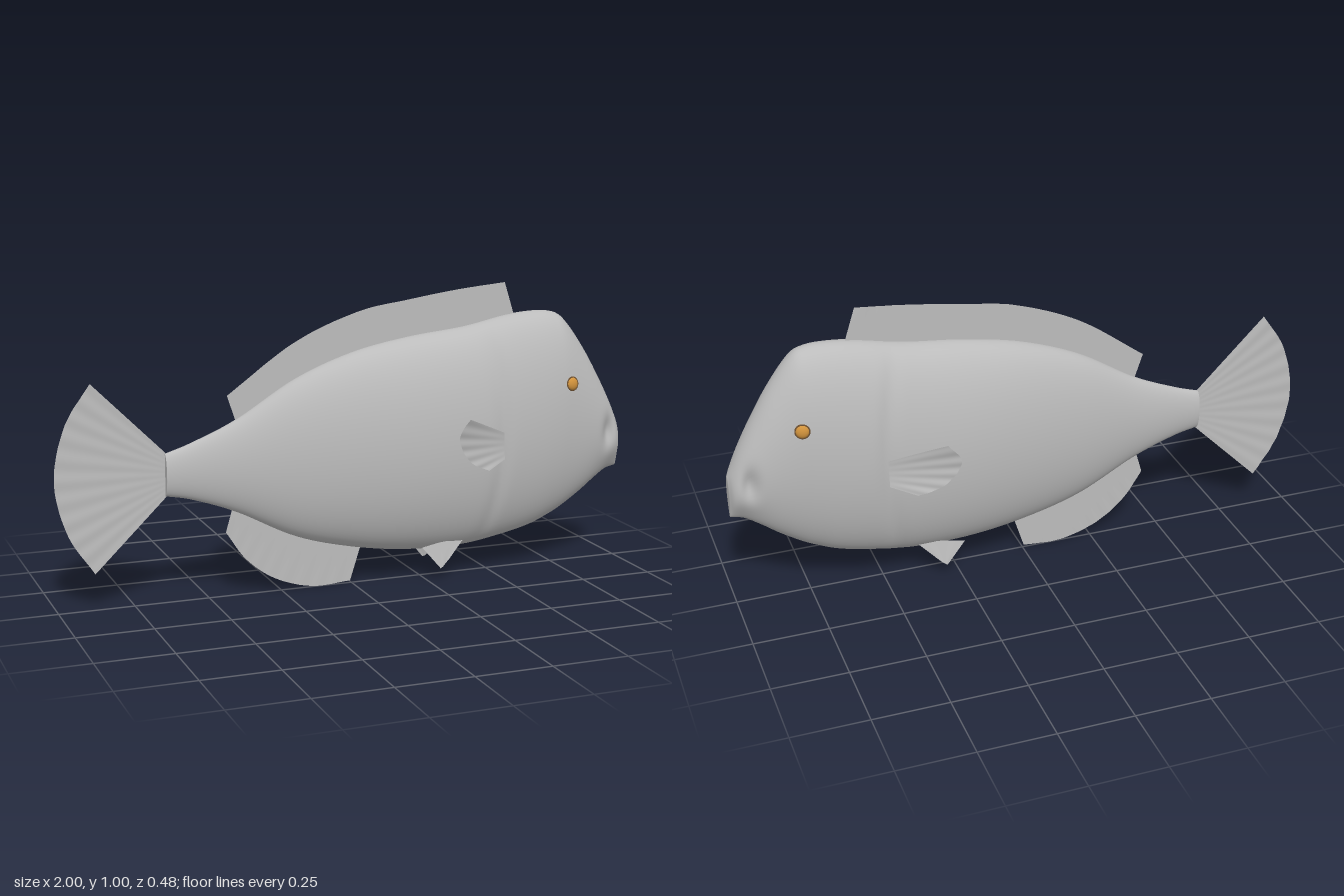
import * as THREE from 'three';

// Body stations: x, top, bottom, half width
const STATIONS = [
  [-0.64, 0.505, 0.365, 0.025], [-0.55, 0.535, 0.345, 0.032], [-0.4, 0.60, 0.29, 0.05],
  [-0.2, 0.72, 0.19, 0.088], [0, 0.797, 0.135, 0.12], [0.2, 0.838, 0.107, 0.141],
  [0.4, 0.862, 0.105, 0.143], [0.55, 0.892, 0.127, 0.138], [0.65, 0.903, 0.15, 0.132],
  [0.72, 0.9, 0.178, 0.124], [0.77, 0.876, 0.203, 0.115], [0.84, 0.785, 0.248, 0.1],
  [0.9, 0.685, 0.293, 0.084], [0.95, 0.59, 0.325, 0.068], [0.982, 0.52, 0.334, 0.049],
  [0.997, 0.485, 0.337, 0.022],
];
const curveOf = (pts) => new THREE.CatmullRomCurve3(pts, false, 'catmullrom', 0.5);
const gauss = (d, w) => Math.exp(-(d * d) / (w * w));

function gridIndex(rows, cols, closed) {
  const index = [];
  const n = closed ? cols : cols - 1;
  for (let i = 0; i < rows - 1; i++) {
    for (let j = 0; j < n; j++) {
      const k = (j + 1) % cols;
      const a = i * cols + j, b = i * cols + k, c = a + cols, d = b + cols;
      index.push(a, b, c, b, d, c);
    }
  }
  return index;
}

function makeGeometry(pos, index) {
  const g = new THREE.BufferGeometry();
  g.setAttribute('position', new THREE.Float32BufferAttribute(pos, 3));
  g.setIndex(index);
  g.computeVertexNormals();
  return g;
}

// Lofted elliptical body with a gill groove, dented cheeks and a keeled chin
function bodyGeometry() {
  const outline = curveOf(STATIONS.map(([x, t, b]) => new THREE.Vector3(x, t, b)));
  const width = curveOf(STATIONS.map(([x, , , w]) => new THREE.Vector3(x, w, 0)));
  const rows = 120, cols = 64, pos = [];
  const ring = (t, scale) => {
    const o = outline.getPoint(t), w = width.getPoint(t).y;
    const mid = (o.y + o.z) / 2, half = (o.y - o.z) / 2;
    for (let j = 0; j < cols; j++) {
      const a = (j / cols) * Math.PI * 2;
      const y = mid + half * Math.cos(a) * scale;
      let z = w * Math.sin(a) * scale;
      const gillX = 0.5 - 0.06 * ((y - 0.5) / 0.4) ** 2;
      z *= 1 - 0.07 * gauss(o.x - gillX, 0.025);
      z *= 1 - 0.33 * gauss(o.x - 0.935, 0.025) * gauss(y - 0.475, 0.05);
      z *= 1 - 0.45 * gauss(o.x - 1, 0.07) * gauss(y - 0.33, 0.06);
      pos.push(o.x, y, z);
    }
  };
  ring(0, 0);
  ring(0, 0.97);
  for (let i = 0; i <= rows; i++) ring(i / rows, 1);
  ring(1, 0.6);
  ring(1, 0);
  return makeGeometry(pos, gridIndex(rows + 5, cols, true));
}

// Thin fin between a root curve and an outer edge; ripples follow the rays
function finGeometry(root, edge, rays, ripple, zAt = () => 0) {
  const a = curveOf(root.map(([x, y]) => new THREE.Vector3(x, y, 0)));
  const b = curveOf(edge.map(([x, y]) => new THREE.Vector3(x, y, 0)));
  const rows = 8, cols = 81, pos = [];
  for (let i = 0; i < rows; i++) {
    const v = i / (rows - 1);
    for (let j = 0; j < cols; j++) {
      const u = j / (cols - 1);
      const p = a.getPoint(u).lerp(b.getPoint(u), v);
      const wave = ripple * v * Math.cos(u * rays * Math.PI * 2);
      pos.push(p.x, p.y, zAt(p.x, p.y) + wave);
    }
  }
  return makeGeometry(pos, gridIndex(rows, cols, false));
}

export function createModel() {
  const skin = new THREE.MeshStandardMaterial({ color: 0xbcbcbc });
  skin.name = 'greySkin';
  const finMat = new THREE.MeshStandardMaterial({ color: 0xbcbcbc, side: THREE.DoubleSide });
  finMat.name = 'greyFin';
  const amber = new THREE.MeshStandardMaterial({ color: 0xd0923c });
  amber.name = 'amberEye';
  const rim = new THREE.MeshStandardMaterial({ color: 0x6e5030 });
  rim.name = 'brownEyeRim';

  const model = new THREE.Group();
  model.name = 'fish';
  const add = (name, geo, mat, parent = model) => {
    const m = new THREE.Mesh(geo, mat);
    m.name = name;
    parent.add(m);
    return m;
  };

  add('body', bodyGeometry(), skin);

  // Fins on the centre line
  add('dorsalFin', finGeometry(
    [[-0.4, 0.59], [-0.2, 0.7], [0, 0.78], [0.2, 0.82], [0.4, 0.845], [0.595, 0.88]],
    [[-0.43, 0.68], [-0.2, 0.84], [0.02, 0.93], [0.2, 0.962], [0.38, 0.988], [0.555, 1.005]],
    14, 0.0004), finMat);
  add('analFin', finGeometry(
    [[-0.415, 0.31], [-0.3, 0.25], [-0.2, 0.2], [-0.08, 0.17], [0.035, 0.14]],
    [[-0.44, 0.225], [-0.37, 0.125], [-0.27, 0.05], [-0.14, 0.01], [-0.005, 0.015]],
    9, 0.0004), finMat);
  add('tailFin', finGeometry(
    [[-0.63, 0.5], [-0.63, 0.435], [-0.63, 0.37]],
    [[-0.877, 0.748], [-0.962, 0.615], [-1, 0.44], [-0.962, 0.265], [-0.877, 0.128]],
    10, 0.001), finMat);

  // Paired fins and eyes
  for (const s of [1, -1]) {
    const side = s > 0 ? 'left' : 'right';
    add(side + 'PectoralFin', finGeometry(
      [[0.5, 0.515], [0.5, 0.47], [0.5, 0.425]],
      [[0.33, 0.59], [0.29, 0.54], [0.305, 0.485], [0.35, 0.435], [0.42, 0.402]],
      5, 0.0015, (x, y) => s * (0.132 + (0.5 - x) * 0.5 + (y - 0.5) ** 2 * 1.5)), finMat);
    add(side + 'PelvicFin', finGeometry(
      [[0.23, 0.125], [0.31, 0.135], [0.39, 0.135]],
      [[0.295, 0.048], [0.305, 0.053], [0.33, 0.075]],
      2, 0.0006, (x, y) => s * (0.062 + (0.13 - y) * 0.2 + (0.3 - x) * 0.1)), finMat);

    const eye = new THREE.Group();
    eye.name = side + 'Eye';
    eye.position.set(0.765, 0.66, s * 0.106);
    eye.rotation.set(-s * 0.12, s * 0.22, 0);
    model.add(eye);
    add('eyeball', new THREE.SphereGeometry(0.022, 24, 16), amber, eye).scale.z = 0.55;
    add('eyeRim', new THREE.TorusGeometry(0.022, 0.004, 8, 28), rim, eye);
  }
  return model;
}
